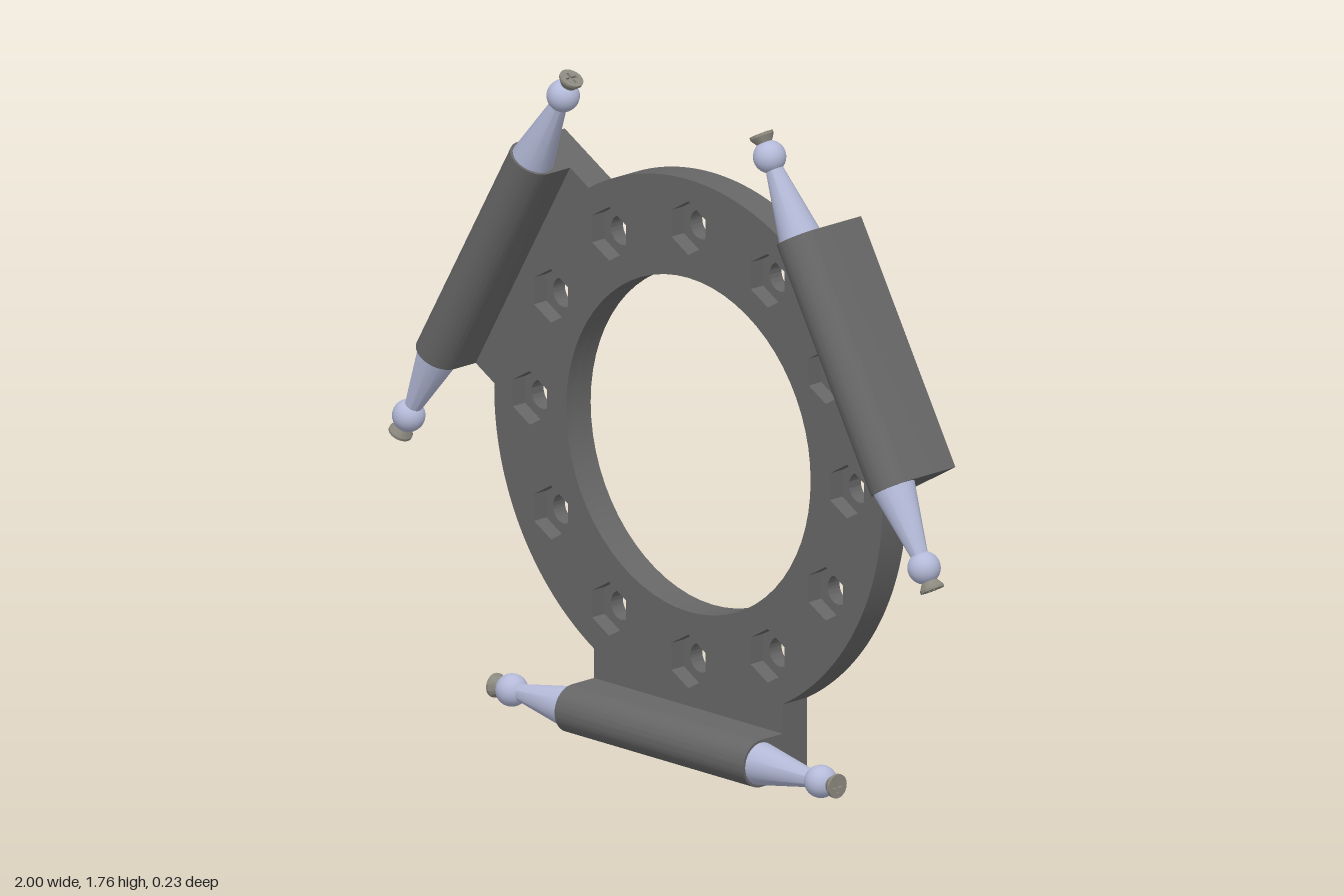
import * as THREE from 'three';
import { toCreasedNormals } from 'three/addons/utils/BufferGeometryUtils.js';

const CENTER_Y = 0.825, RING_R = 0.71, BORE_R = 0.447, BOLT_R = 0.58;
const HALF_W = 0.345;                                // half length of a rod holder
const BACK = -0.116, FLOOR = -0.073, FACE = -0.028;  // z levels of the plate
const ROD_D = 0.762, ROD_Z = 0.051, BAR_R = 0.063;   // rod axis and holder radius

const dark = new THREE.MeshStandardMaterial({ color: 0x666666 });
const pale = new THREE.MeshStandardMaterial({ color: 0xb4bad8 });
const steel = new THREE.MeshStandardMaterial({ color: 0x8c897f });

function add(parent, name, geometry, material) {
  const mesh = new THREE.Mesh(geometry, material);
  mesh.name = name;
  parent.add(mesh);
  return mesh;
}

function extrude(shape, depth, curveSegments = 32) {
  const g = new THREE.ExtrudeGeometry(shape, { depth, curveSegments, bevelEnabled: false });
  return toCreasedNormals(g, 0.5);
}

function circlePath(x, y, r) {
  return new THREE.Path().absarc(x, y, r, 0, Math.PI * 2, true);
}

function hexPath(x, y, r) {
  const pts = [];
  for (let i = 0; i < 6; i++) {
    const a = Math.PI / 2 - i * Math.PI / 3;
    pts.push(new THREE.Vector2(x + r * Math.cos(a), y + r * Math.sin(a)));
  }
  return new THREE.Path(pts);
}

// Ring outline with three straight tabs, bored, with twelve bolt openings
function plateShape(opening) {
  const s = new THREE.Shape();
  const h = Math.asin(HALF_W / RING_R), d = ROD_D - BAR_R + 0.127 - 0.127;
  for (let k = 0; k < 3; k++) {
    const a = -Math.PI / 2 + k * Math.PI * 2 / 3, c = Math.cos(a), n = Math.sin(a);
    const start = [RING_R * Math.cos(a - h), RING_R * Math.sin(a - h)];
    if (k === 0) s.moveTo(...start);
    s.lineTo(d * c + HALF_W * n, d * n - HALF_W * c);
    s.lineTo(d * c - HALF_W * n, d * n + HALF_W * c);
    s.lineTo(RING_R * Math.cos(a + h), RING_R * Math.sin(a + h));
    s.absarc(0, 0, RING_R, a + h, a + Math.PI * 2 / 3 - h, false);
  }
  s.holes.push(circlePath(0, 0, BORE_R));
  for (let i = 0; i < 12; i++) {
    const a = i * Math.PI / 6;
    s.holes.push(opening(BOLT_R * Math.cos(a), BOLT_R * Math.sin(a)));
  }
  return s;
}

// D-shaped section, flat at the back and round at the front, swept along x
function holderGeometry() {
  const s = new THREE.Shape();
  s.moveTo(BACK, -ROD_D - BAR_R);
  s.lineTo(ROD_Z, -ROD_D - BAR_R);
  s.absarc(ROD_Z, -ROD_D, BAR_R, -Math.PI / 2, Math.PI / 2, false);
  s.lineTo(BACK, -ROD_D + BAR_R);
  return extrude(s, HALF_W * 2, 16).rotateY(-Math.PI / 2).translate(HALF_W, 0, 0);
}

function lathe(points) {
  const g = new THREE.LatheGeometry(points.map(([r, y]) => new THREE.Vector2(r, y)), 32);
  return toCreasedNormals(g, 0.5);
}

// Screw top: a disc with a cross-shaped recess
function screwTopGeometry() {
  const s = new THREE.Shape().absarc(0, 0, 0.032, 0, Math.PI * 2, false);
  const w = 0.004, l = 0.018, cross = [];
  for (let i = 0; i < 4; i++) {
    const c = Math.round(Math.cos(i * Math.PI / 2)), n = Math.round(Math.sin(i * Math.PI / 2));
    for (const [x, y] of [[l, -w], [l, w], [w, w]]) {
      cross.push(new THREE.Vector2(x * c - y * n, x * n + y * c));
    }
  }
  s.holes.push(new THREE.Path(cross.reverse()));
  return extrude(s, 0.007, 16).rotateX(-Math.PI / 2).translate(0, 0.62, 0);
}

export function createModel() {
  const model = new THREE.Group();
  model.name = 'rodCarrierRing';
  const body = new THREE.Group();
  body.name = 'body';
  body.position.y = CENTER_Y;
  model.add(body);

  // Plate in two layers: round bolt holes behind, hexagonal nut pockets in front
  const backShape = plateShape((x, y) => circlePath(x, y, 0.039));
  const frontShape = plateShape((x, y) => hexPath(x, y, 0.072));
  add(body, 'plateBack', extrude(backShape, FLOOR - BACK), dark).position.z = BACK;
  add(body, 'plateFront', extrude(frontShape, FACE - FLOOR), dark).position.z = FLOOR;

  const holder = holderGeometry();
  const cone = lathe([[0, 0.34], [0.056, 0.34], [0.056, 0.346], [0.022, 0.535], [0.022, 0.56]]);
  const ball = new THREE.SphereGeometry(0.043, 32, 20).translate(0, 0.565, 0);
  const head = lathe([[0, 0.595], [0.016, 0.595], [0.032, 0.62], [0, 0.62]]);
  const top = screwTopGeometry();

  // Three holders, each with a ball-ended pin and screw at both ends
  for (let k = 0; k < 3; k++) {
    const arm = new THREE.Group();
    arm.name = `arm${k + 1}`;
    arm.rotation.z = k * Math.PI * 2 / 3;
    body.add(arm);
    add(arm, 'rodHolder', holder, dark);
    for (const side of [1, -1]) {
      const pin = new THREE.Group();
      pin.name = side > 0 ? 'leftPin' : 'rightPin';
      pin.position.set(0, -ROD_D, ROD_Z);
      pin.rotation.z = -side * Math.PI / 2;
      arm.add(pin);
      add(pin, 'cone', cone, pale);
      add(pin, 'ball', ball, pale);
      add(pin, 'screwHead', head, steel);
      add(pin, 'screwTop', top, steel);
    }
  }
  return model;
}
